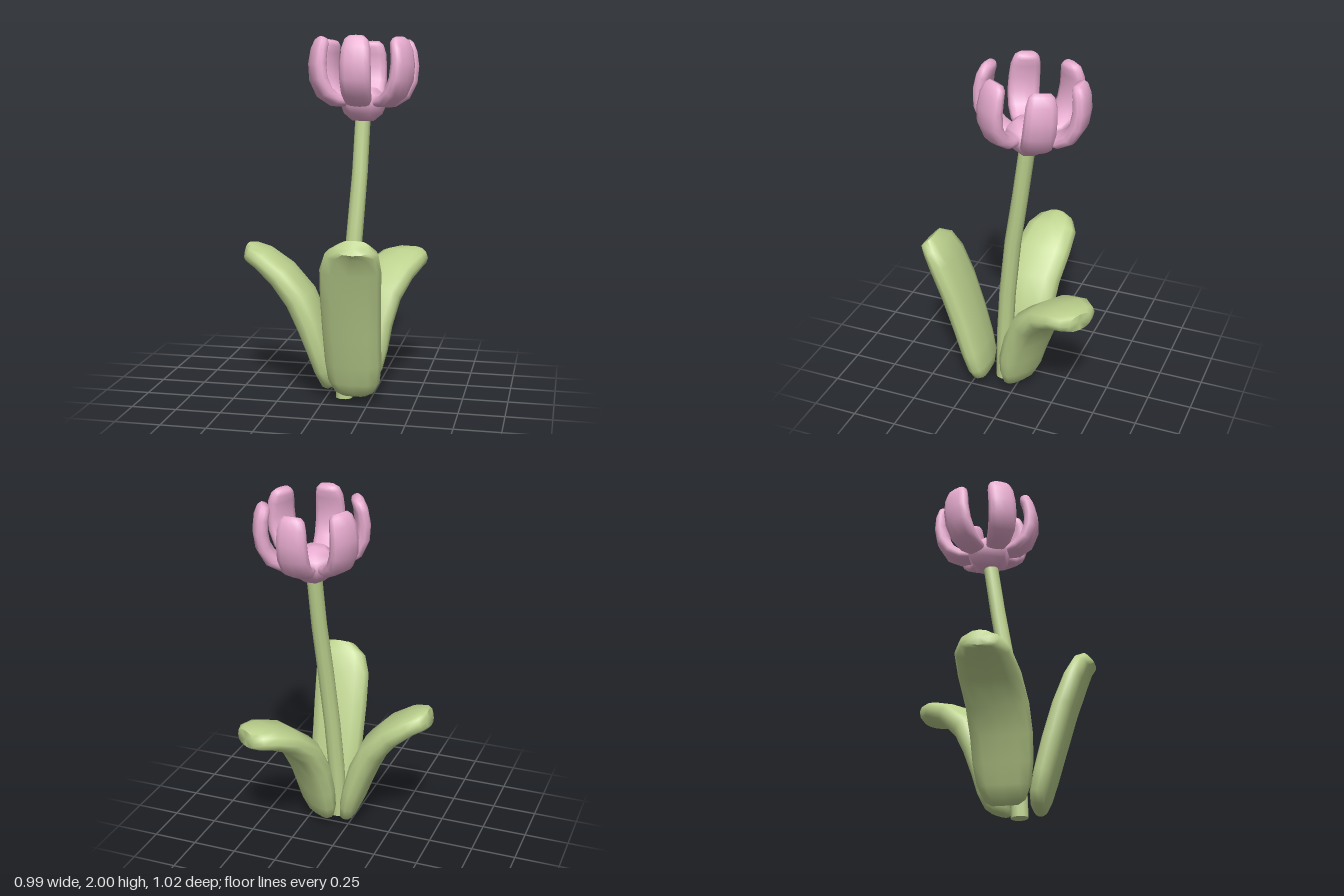
import * as THREE from 'three';
import { toCreasedNormals } from 'three/addons/utils/BufferGeometryUtils.js';

const green = new THREE.MeshStandardMaterial({ color: 0xbdd28e });
const pink = new THREE.MeshStandardMaterial({ color: 0xe8acd0 });

// Sweeps a rounded section along stations { p, w, t }: centre, half width along side, half thickness
function sweep(stations, side, sides, power) {
  const pos = [], index = [], n = stations.length;
  const bend = v => Math.sign(v) * Math.pow(Math.abs(v), power);
  stations.forEach(({ p, w, t }, i) => {
    const tangent = stations[Math.min(i + 1, n - 1)].p.clone().sub(stations[Math.max(i - 1, 0)].p).normalize();
    const up = tangent.cross(side).normalize();
    for (let j = 0; j < sides; j++) {
      const a = (j / sides) * Math.PI * 2;
      const v = p.clone().addScaledVector(side, w * bend(Math.cos(a))).addScaledVector(up, t * bend(Math.sin(a)));
      pos.push(v.x, v.y, v.z);
    }
  });
  for (let i = 0; i < n - 1; i++) {
    for (let j = 0; j < sides; j++) {
      const a = i * sides + j, b = i * sides + (j + 1) % sides;
      index.push(a, b, a + sides, b, b + sides, a + sides);
    }
  }
  // End caps
  const first = n * sides, last = first + 1, r = (n - 1) * sides;
  pos.push(...stations[0].p.toArray(), ...stations[n - 1].p.toArray());
  for (let j = 0; j < sides; j++) {
    const k = (j + 1) % sides;
    index.push(first, k, j, last, r + j, r + k);
  }
  const g = new THREE.BufferGeometry();
  g.setAttribute('position', new THREE.Float32BufferAttribute(pos, 3));
  g.setIndex(index);
  return toCreasedNormals(g, 1.2);
}

// Blade growing from origin toward angle; rows are [outward, height, half width, half thickness, sideways]
function blade(name, material, origin, angle, rows) {
  const out = new THREE.Vector3(Math.sin(angle), 0, Math.cos(angle));
  const side = new THREE.Vector3(Math.cos(angle), 0, -Math.sin(angle));
  const stations = rows.map(([s, y, w, t, d = 0]) => ({
    p: new THREE.Vector3(origin[0], y, origin[1]).addScaledVector(out, s).addScaledVector(side, d), w, t,
  }));
  const mesh = new THREE.Mesh(sweep(stations, side, 12, 0.75), material);
  mesh.name = name;
  return mesh;
}

export function createModel() {
  const model = new THREE.Group();
  model.name = 'flowerPlant';

  // Leaning stem, slightly tapered
  const stemRows = [
    [0.1, 0, 0.103, 0.048], [0.107, 0.3, 0.092, 0.048], [0.123, 0.6, 0.068, 0.047],
    [0.144, 0.95, 0.025, 0.046], [0.16, 1.25, -0.025, 0.044], [0.168, 1.56, -0.07, 0.043],
  ].map(([x, y, z, r]) => ({ p: new THREE.Vector3(x, y, z), w: r, t: r }));
  const stem = new THREE.Mesh(sweep(stemRows, new THREE.Vector3(1, 0, 0), 10, 1), green);
  stem.name = 'stem';
  model.add(stem);

  // Three leaves: upright in front, two that arch outward
  model.add(blade('frontLeaf', green, [0, 0], 0, [
    [0.192, 0.046, 0.07, 0.022, 0.172], [0.196, 0.07, 0.11, 0.04, 0.174], [0.207, 0.13, 0.143, 0.055, 0.174],
    [0.235, 0.24, 0.156, 0.062, 0.175], [0.285, 0.42, 0.16, 0.066, 0.175], [0.345, 0.62, 0.165, 0.065, 0.18],
    [0.407, 0.79, 0.165, 0.06, 0.19], [0.45, 0.885, 0.142, 0.053, 0.205], [0.488, 0.923, 0.085, 0.048, 0.22],
  ]));
  model.add(blade('rightLeaf', green, [0.012, 0.04], -Math.PI / 2, [
    [0, 0.046, 0.07, 0.022], [0.007, 0.07, 0.11, 0.04], [0.028, 0.15, 0.145, 0.056], [0.058, 0.26, 0.162, 0.066],
    [0.105, 0.4, 0.168, 0.076], [0.175, 0.545, 0.17, 0.078, -0.01], [0.285, 0.67, 0.168, 0.07, -0.03],
    [0.4, 0.755, 0.15, 0.06, -0.045], [0.47, 0.785, 0.105, 0.054, -0.05], [0.495, 0.79, 0.06, 0.048, -0.05],
  ]));
  model.add(blade('backLeaf', green, [0.163, -0.012], 2.6, [
    [0, 0.046, 0.07, 0.022], [0.005, 0.07, 0.105, 0.04], [0.022, 0.15, 0.138, 0.057], [0.045, 0.26, 0.154, 0.068],
    [0.087, 0.4, 0.16, 0.078, 0.01], [0.163, 0.548, 0.163, 0.08, 0.015], [0.285, 0.655, 0.165, 0.07, 0.02],
    [0.405, 0.705, 0.155, 0.06, 0.025], [0.485, 0.715, 0.122, 0.054, 0.022], [0.518, 0.715, 0.075, 0.048, 0.015],
  ]));

  // Flower head, tipped slightly backward
  const flower = new THREE.Group();
  flower.name = 'flowerHead';
  flower.position.set(0.168, 1.53, -0.07);
  flower.rotation.x = -0.08;
  const profile = [[0, 0], [0.06, 0], [0.108, 0.04], [0.13, 0.095], [0.12, 0.14], [0.075, 0.18], [0, 0.19]]
    .map(([x, y]) => new THREE.Vector2(x, y));
  const heart = new THREE.Mesh(new THREE.LatheGeometry(profile, 6, Math.PI / 6), pink);
  heart.name = 'flowerHeart';
  flower.add(heart);

  // Six cupped petals
  for (let i = 0; i < 6; i++) {
    flower.add(blade('petal' + (i + 1), pink, [0, 0], (i * Math.PI) / 3, [
      [0.112, 0.1, 0.058, 0.025], [0.165, 0.11, 0.073, 0.036], [0.225, 0.15, 0.082, 0.041],
      [0.262, 0.225, 0.086, 0.041], [0.27, 0.305, 0.084, 0.04], [0.261, 0.38, 0.079, 0.037],
      [0.246, 0.425, 0.066, 0.033], [0.238, 0.443, 0.046, 0.022],
    ]));
  }
  model.add(flower);
  return model;
}
